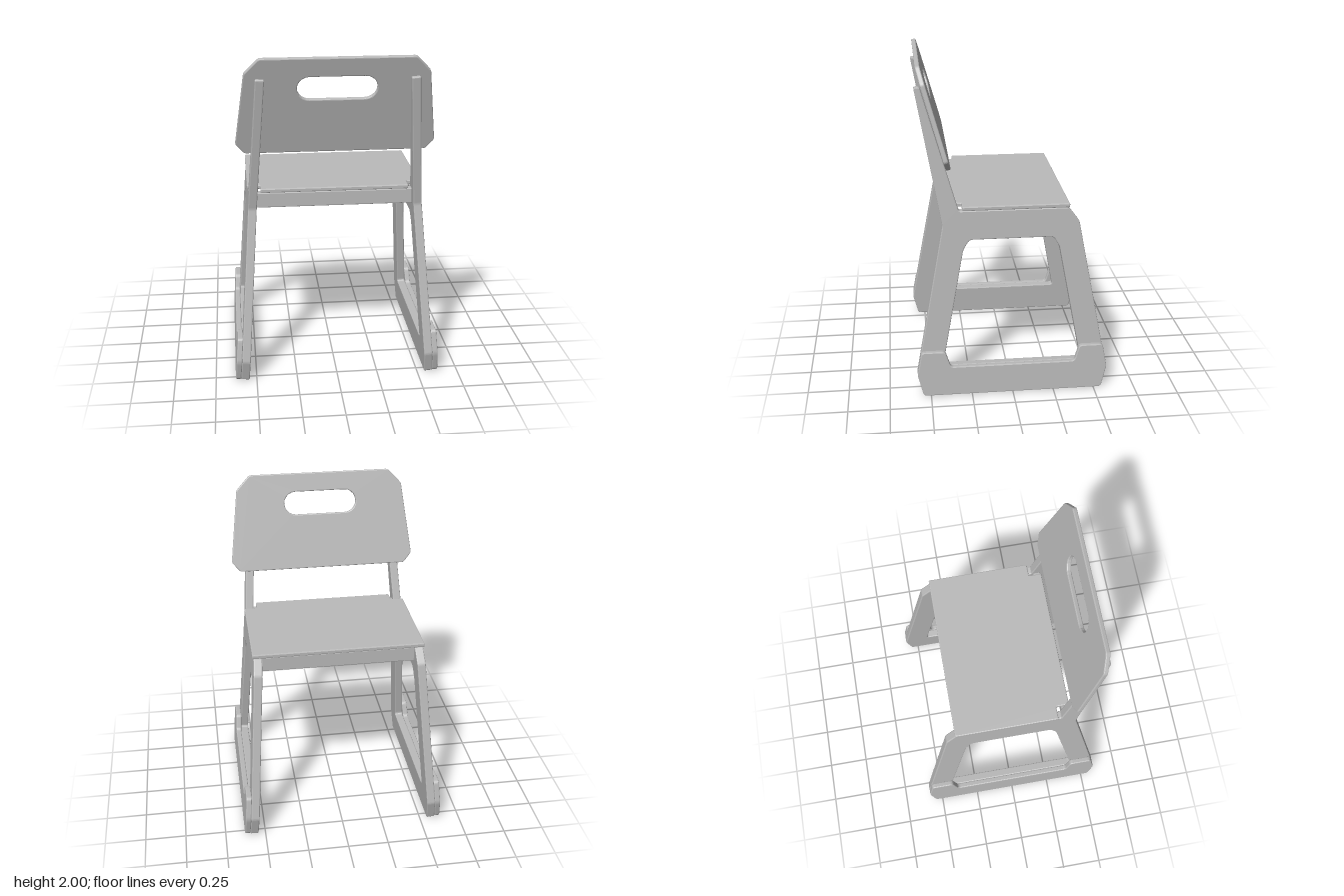
import * as THREE from 'three';

const EDGE = 0.006; // softened board edges

// Polygon with small rounded corners, added to a Shape or Path.
function trace(path, points, radius) {
  const pts = points.map(([x, y]) => new THREE.Vector2(x, y));
  const n = pts.length;
  pts.forEach((p, i) => {
    const toward = (q) => p.clone().add(q.clone().sub(p).setLength(Math.min(radius, p.distanceTo(q) * 0.4)));
    const a = toward(pts[(i + n - 1) % n]);
    const b = toward(pts[(i + 1) % n]);
    if (i === 0) path.moveTo(a.x, a.y); else path.lineTo(a.x, a.y);
    path.quadraticCurveTo(p.x, p.y, b.x, b.y);
  });
  path.closePath();
  return path;
}

// Mirrors an open half outline across the vertical axis.
const mirrored = (half) => [...half, ...half.map(([x, y]) => [-x, y]).reverse()];

// Flat board of the given thickness, centred on its own plane.
function board(outline, thickness, hole, radius = 0.012) {
  const shape = trace(new THREE.Shape(), outline, radius);
  if (hole) shape.holes.push(hole);
  const geo = new THREE.ExtrudeGeometry(shape, {
    depth: thickness - 2 * EDGE, bevelEnabled: true, bevelSize: EDGE,
    bevelThickness: EDGE, bevelOffset: -EDGE, bevelSegments: 2, curveSegments: 5,
  });
  return geo.translate(0, 0, -thickness / 2 + EDGE);
}

export function createModel() {
  const chair = new THREE.Group();
  chair.name = 'chair';
  const paint = new THREE.MeshStandardMaterial({ color: 0xbababa });
  paint.name = 'grey';

  const add = (parent, name, geo) => {
    const mesh = new THREE.Mesh(geo, paint);
    mesh.name = name;
    parent.add(mesh);
    return mesh;
  };

  // Side frame profile (z, y): legs, seat rail and back post in one board
  const frameOutline = [
    [-0.545, 0.004], [0.545, 0.004], [0.58, 0.14], [0.407, 1.07], [0.552, 1.885],
    [0.517, 1.885], [0.31, 1.155], [-0.34, 1.155], [-0.405, 1.07], [-0.58, 0.14],
  ];
  const opening = trace(new THREE.Path(),
    mirrored([[0.422, 0.187], [0.288, 0.915], [0.25, 0.977]]), 0.02);
  const frameGeo = board(frameOutline, 0.052, opening).rotateY(-Math.PI / 2);

  // Foot plate on the outside of each frame
  const runnerGeo = board(mirrored([
    [0.545, 0.004], [0.58, 0.14], [0.553, 0.287], [0.41, 0.287], [0.378, 0.187],
  ]), 0.034, null, 0.02).rotateY(-Math.PI / 2);

  for (const s of [1, -1]) {
    const side = new THREE.Group();
    side.name = s > 0 ? 'leftSide' : 'rightSide';
    add(side, 'sideFrame', frameGeo);
    add(side, 'footPlate', runnerGeo).position.x = s * 0.042;
    side.position.x = s * 0.571;
    side.rotation.z = s * 0.069;
    chair.add(side);
  }

  // Seat, notched around the back posts
  const seatGeo = board(mirrored([
    [0.525, -0.347], [0.525, 0.29], [0.445, 0.29], [0.445, 0.37],
  ]), 0.026, null, 0.008).rotateX(Math.PI / 2);
  add(chair, 'seat', seatGeo).position.y = 1.168;

  // Rails under the seat
  const railGeo = board(mirrored([[0.468, -0.047], [0.468, 0.047]]), 0.045, null, 0.005);
  add(chair, 'frontRail', railGeo).position.set(0, 1.109, -0.315);
  add(chair, 'backRail', railGeo).position.set(0, 1.109, 0.345);

  // Leaning backrest with a rounded hand slot
  const lean = 0.27;
  const k = 1 / Math.cos(lean);
  const slot = new THREE.Path();
  const r = 0.07 * k, slotY = 0.405 * k;
  slot.absarc(0.158, slotY, r, -Math.PI / 2, Math.PI / 2, false);
  slot.absarc(-0.158, slotY, r, Math.PI / 2, Math.PI * 1.5, false);
  slot.closePath();
  const backOutline = mirrored([[0.535, 0], [0.587, 0.06], [0.53, 0.5], [0.445, 0.587]])
    .map(([x, y]) => [x, y * k]);
  const back = add(chair, 'backrest', board(backOutline, 0.028, slot));
  back.position.set(0, 1.41, 0.365);
  back.rotation.x = lean;

  return chair;
}
